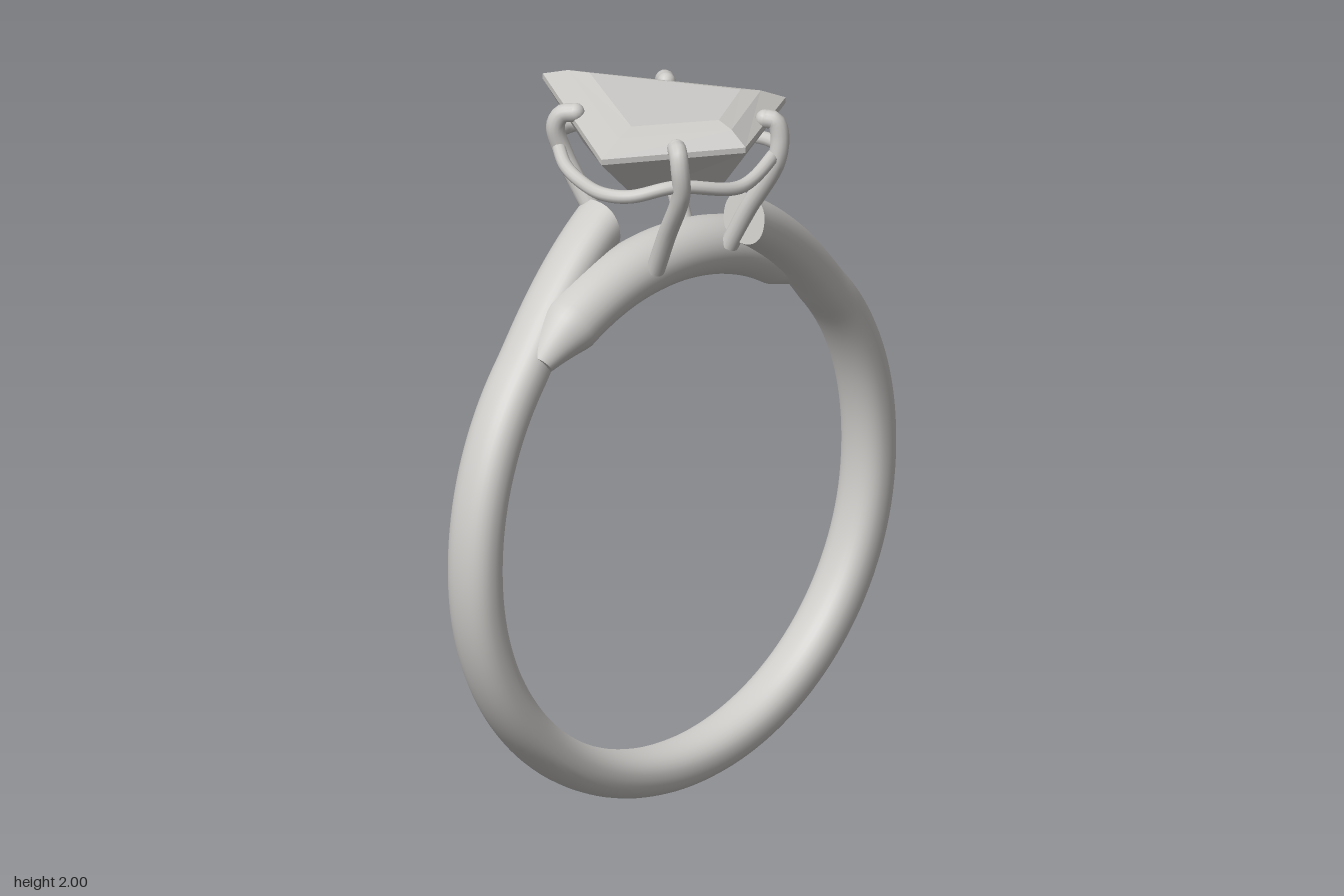
import * as THREE from 'three';

const CY = 0.81, CZ = 0.11; // centre of the band
const V = (x, y, z) => new THREE.Vector3(x, y, z);
const clamp = THREE.MathUtils.clamp;

// Sweep a rounded section around the band centre.
// section(deg) gives { r, z, hr, hz }: radius, z, half thickness, half width.
function sweep(from, to, steps, power, section) {
  const N = 32, pos = [], idx = [], rings = [];
  const soft = (c) => Math.sign(c) * Math.pow(Math.abs(c), 2 / power);
  for (let i = 0; i <= steps; i++) {
    const deg = from + (to - from) * i / steps;
    const a = THREE.MathUtils.degToRad(deg);
    const { r, z, hr, hz } = section(deg);
    const ring = [];
    for (let j = 0; j < N; j++) {
      const p = j / N * Math.PI * 2;
      const R = r + hr * soft(Math.cos(p));
      ring.push([R * Math.sin(a), CY + R * Math.cos(a), z + hz * soft(Math.sin(p))]);
    }
    ring.center = [r * Math.sin(a), CY + r * Math.cos(a), z];
    rings.push(ring);
    pos.push(...ring.flat());
  }
  for (let i = 0; i < steps; i++) for (let j = 0; j < N; j++) {
    const k = (j + 1) % N, a = i * N, b = a + N;
    idx.push(a + j, a + k, b + k, a + j, b + k, b + j);
  }
  // end caps with their own vertices, so their edges stay crisp
  [rings[0], rings[steps]].forEach((ring, end) => {
    const base = pos.length / 3;
    pos.push(...ring.flat(), ...ring.center);
    for (let j = 0; j < N; j++) {
      const k = (j + 1) % N;
      idx.push(base + N, base + (end ? j : k), base + (end ? k : j));
    }
  });
  const g = new THREE.BufferGeometry();
  g.setAttribute('position', new THREE.Float32BufferAttribute(pos, 3));
  g.setIndex(idx);
  g.computeVertexNormals();
  return g;
}

// Faceted kite stone: layers of [y, half width, side z, front z, back z], bottom to top
function kiteStone(layers) {
  const pos = [];
  const rings = layers.map(([y, w, s, f, b]) =>
    [[0, y, f], [w, y, s], [0, y, b], [-w, y, s]]);
  const tri = (...p) => p.forEach((q) => pos.push(...q));
  for (let i = 0; i < rings.length - 1; i++) for (let j = 0; j < 4; j++) {
    const k = (j + 1) % 4, lo = rings[i], hi = rings[i + 1];
    if (i > 0) tri(lo[j], lo[k], hi[k]);
    tri(lo[j], hi[k], hi[j]);
  }
  const top = rings[rings.length - 1];
  tri(top[0], top[1], top[2]);
  tri(top[0], top[2], top[3]);
  const g = new THREE.BufferGeometry();
  g.setAttribute('position', new THREE.Float32BufferAttribute(pos, 3));
  g.computeVertexNormals();
  return g;
}

export function createModel() {
  const group = new THREE.Group();
  const metal = new THREE.MeshStandardMaterial({ color: 0xcdcbc8 });
  metal.name = 'pale grey';
  const stoneMat = metal.clone();
  stoneMat.name = 'pale grey facets';
  stoneMat.flatShading = true;

  const add = (name, geo, mat = metal, parent = group) => {
    const m = new THREE.Mesh(geo, mat);
    m.name = name;
    parent.add(m);
    return m;
  };

  // Bypass band: its ends lift and swing apart, right to the front, left to the back
  add('band', sweep(10.5, 349.5, 140, 2.3, (deg) => {
    const side = deg <= 180 ? 1 : -1;
    const d = deg <= 180 ? deg : 360 - deg;
    const swing = Math.pow(clamp((95 - d) / 85, 0, 1), 1.8);
    const lift = Math.pow(clamp((45 - d) / 35, 0, 1), 1.5);
    return { r: 0.747 + 0.115 * lift, z: CZ + side * 0.123 * swing, hr: 0.065 + 0.006 * lift, hz: 0.079 };
  }));

  // Bridge under the stone, tapering into the band at both ends
  add('bridge', sweep(-42, 42, 56, 2, (deg) => {
    const t = clamp((Math.abs(deg) - 32) / 10, 0, 1);
    return { r: 0.753, z: CZ, hr: 0.082 - 0.045 * t, hz: 0.088 - 0.045 * t };
  }));

  // Kite-cut stone
  add('stone', kiteStone([
    [1.70, 0, -0.035, -0.035, -0.035],
    [1.79, 0.19, 0.155, 0.29, -0.24],
    [1.932, 0.35, 0.195, 0.4, -0.4],
    [1.948, 0.35, 0.195, 0.4, -0.4],
    [1.985, 0.27, 0.18, 0.345, -0.3],
    [2.0, 0.208, 0.165, 0.295, -0.215],
  ]), stoneMat);

  // Four claws curling over the edge of the stone
  const prongs = new THREE.Group();
  prongs.name = 'prongs';
  group.add(prongs);
  const front = [[0.14, 1.57, 0.19], [0.155, 1.69, 0.25], [0.18, 1.84, 0.333], [0.19, 1.92, 0.338],
    [0.184, 1.958, 0.325], [0.168, 1.962, 0.302]];
  const back = [[0.14, 1.57, 0.02], [0.155, 1.68, -0.04], [0.183, 1.83, -0.122], [0.205, 1.92, -0.137],
    [0.195, 1.956, -0.122], [0.173, 1.963, -0.092]];
  for (const [label, pts] of [['front', front], ['back', back]]) for (const s of [1, -1]) {
    const path = new THREE.CatmullRomCurve3(pts.map(([x, y, z]) => V(s * x, y, z)));
    const name = label + (s > 0 ? 'Left' : 'Right') + 'Prong';
    add(name, new THREE.TubeGeometry(path, 40, 0.026, 14), metal, prongs);
    const tip = add(name + 'Tip', new THREE.SphereGeometry(0.026, 14, 10), metal, prongs);
    tip.position.copy(path.getPoint(1));
  }

  // Wavy gallery wire, high at the claws and low between them
  const half = [[0.19, 1.86, 0.32], [0.285, 1.835, 0.24], [0.31, 1.828, 0.16], [0.28, 1.825, 0.04],
    [0.25, 1.838, -0.05], [0.195, 1.858, -0.135], [0.11, 1.838, -0.235]];
  const loop = [V(0, 1.825, 0.375), ...half.map((p) => V(...p)), V(0, 1.822, -0.295),
    ...half.slice().reverse().map(([x, y, z]) => V(-x, y, z))];
  add('galleryWire', new THREE.TubeGeometry(new THREE.CatmullRomCurve3(loop, true), 140, 0.019, 12, true));

  return group;
}
